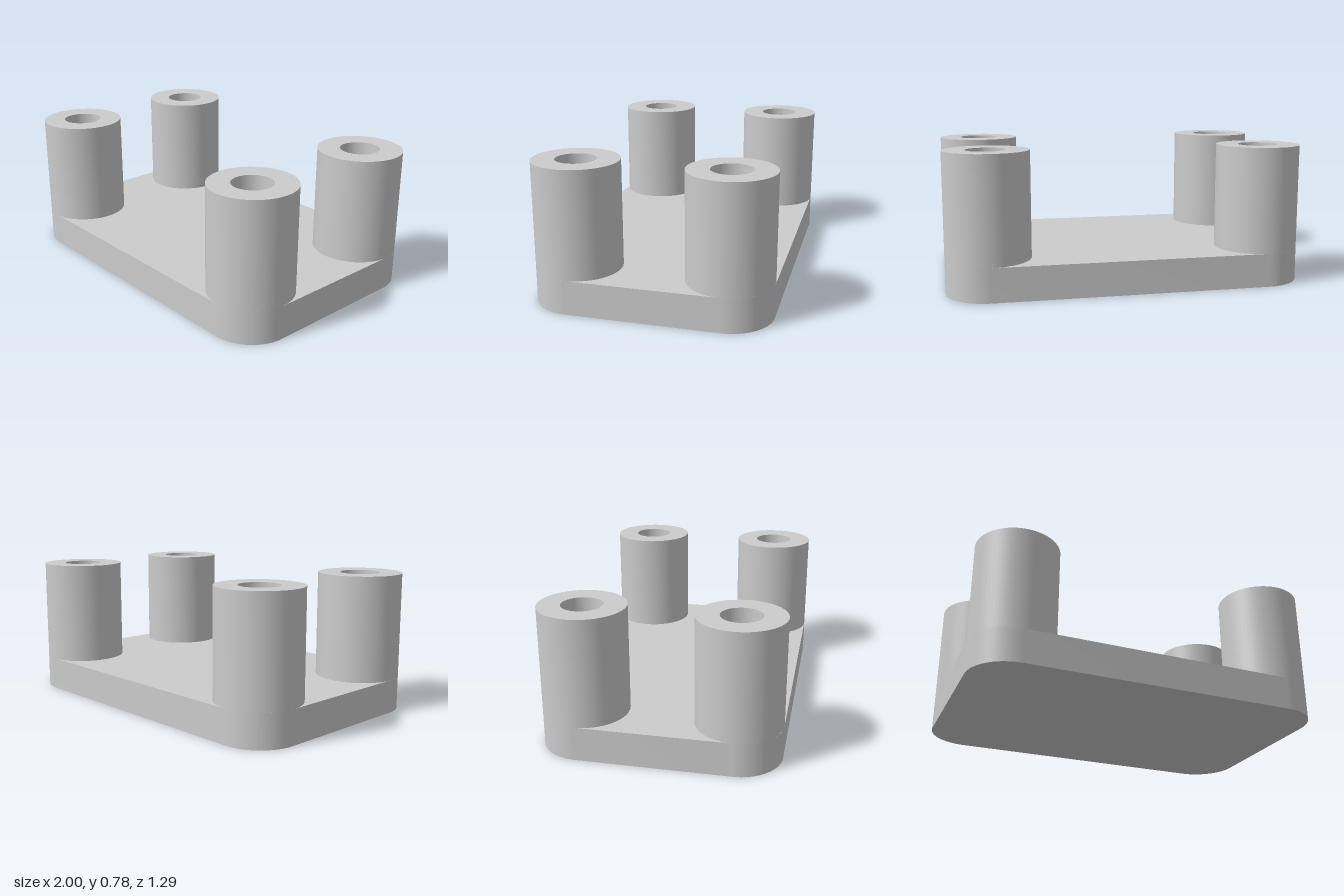
import * as THREE from 'three';
import { toCreasedNormals } from 'three/addons/utils/BufferGeometryUtils.js';

const POST_X = 0.766, POST_Z = 0.413;  // post centres
const R = 0.234, HOLE_R = 0.11;        // post and hole radii
const PLATE_H = 0.188, TOTAL_H = 0.776;

export function createModel() {
  const group = new THREE.Group();
  const material = new THREE.MeshStandardMaterial({ color: 0xcccccc });

  // Base plate: rounded corners concentric with the posts
  const outline = new THREE.Shape();
  outline.absarc(POST_X, POST_Z, R, 0, Math.PI / 2);
  outline.absarc(-POST_X, POST_Z, R, Math.PI / 2, Math.PI);
  outline.absarc(-POST_X, -POST_Z, R, Math.PI, Math.PI * 1.5);
  outline.absarc(POST_X, -POST_Z, R, Math.PI * 1.5, Math.PI * 2);
  outline.closePath();
  const plateGeometry = new THREE.ExtrudeGeometry(outline, {
    depth: PLATE_H, bevelEnabled: false, curveSegments: 16,
  });
  plateGeometry.rotateX(-Math.PI / 2);
  const plate = new THREE.Mesh(toCreasedNormals(plateGeometry, 0.5), material);
  plate.name = 'basePlate';
  group.add(plate);

  // Hollow posts: outer wall, top ring and bore, whose floor is the plate top
  const profile = [
    [R, PLATE_H], [R, TOTAL_H], [HOLE_R, TOTAL_H], [HOLE_R, PLATE_H],
  ].map(([x, y]) => new THREE.Vector2(x, y));
  const postGeometry = toCreasedNormals(new THREE.LatheGeometry(profile, 64), 0.5);
  for (const [side, sx] of [['Left', 1], ['Right', -1]]) {
    for (const [end, sz] of [['front', 1], ['back', -1]]) {
      const post = new THREE.Mesh(postGeometry, material);
      post.name = `${end}${side}Post`;
      post.position.set(sx * POST_X, 0, sz * POST_Z);
      group.add(post);
    }
  }
  return group;
}
